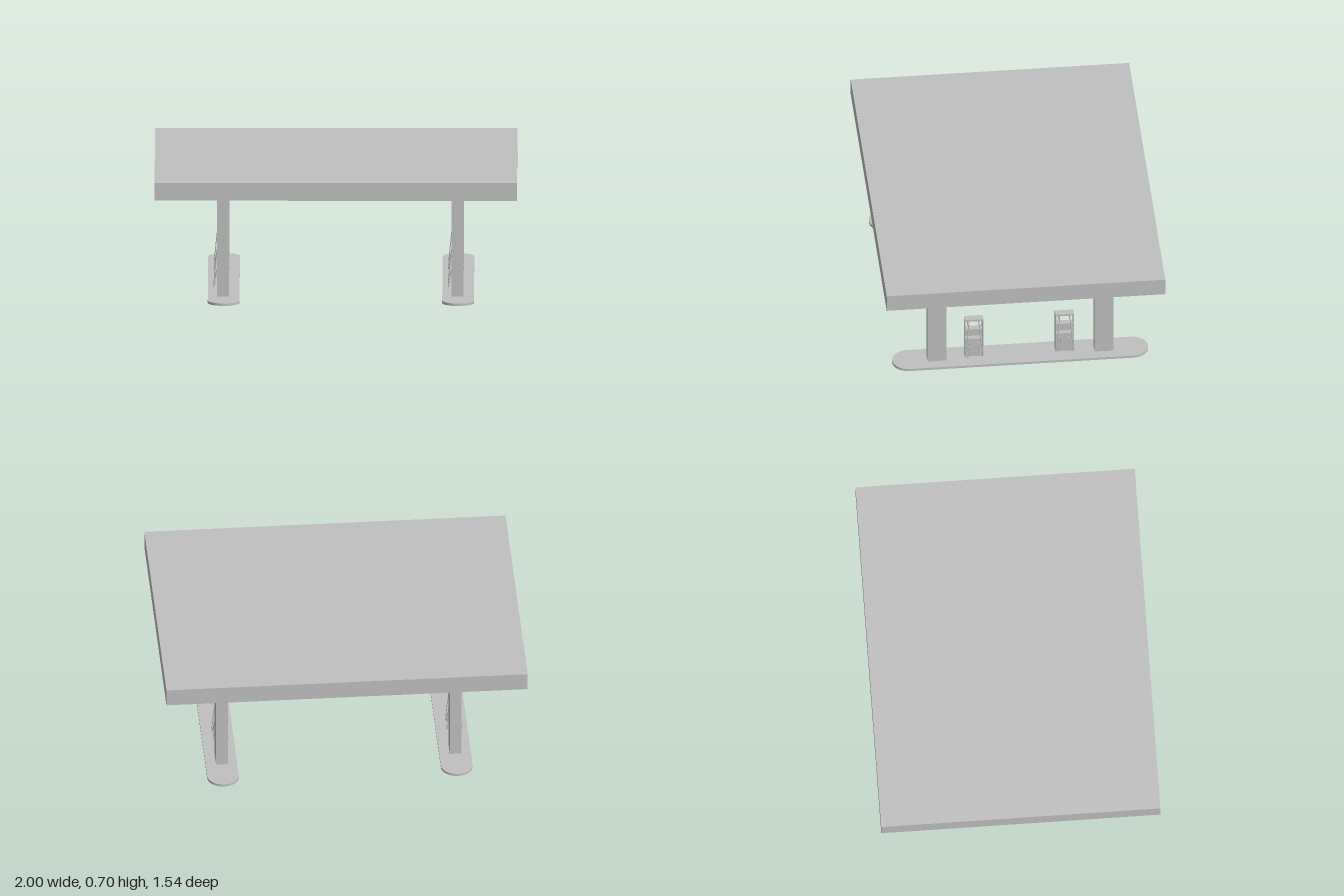
import * as THREE from 'three';

const paint = new THREE.MeshStandardMaterial({ color: 0xc0c0c0 });
paint.name = 'light grey';

function box(name, w, h, d, x, y, z) {
  const m = new THREE.Mesh(new THREE.BoxGeometry(w, h, d), paint);
  m.name = name;
  m.position.set(x, y + h / 2, z);
  return m;
}

// Kerb with round ends, long in z
function island() {
  const r = 0.0875, half = 0.71 - r;
  const s = new THREE.Shape();
  s.absarc(0, half, r, 0, Math.PI, false);
  s.absarc(0, -half, r, Math.PI, Math.PI * 2, false);
  s.closePath();
  const g = new THREE.ExtrudeGeometry(s, { depth: 0.014, bevelEnabled: false, curveSegments: 10 });
  g.rotateX(-Math.PI / 2);
  const m = new THREE.Mesh(g, paint);
  m.name = 'island';
  return m;
}

// Hose drops from the head, loops near the ground and rises to the nozzle
function hose(sx, sz) {
  const pts = [
    [0.02, 0.255, 0.028], [0.027, 0.19, 0.033], [0.036, 0.1, 0.041], [0.041, 0.035, 0.046],
    [0.041, 0.024, 0.04], [0.038, 0.03, 0.034], [0.034, 0.07, 0.026], [0.026, 0.108, 0.023],
  ].map(([x, y, z]) => new THREE.Vector3(x * sx, y, z * sz));
  const g = new THREE.TubeGeometry(new THREE.CatmullRomCurve3(pts), 24, 0.0025, 6);
  const m = new THREE.Mesh(g, paint);
  m.name = 'hose';
  return m;
}

// Open-framed pump, served from both sides
function pump() {
  const p = new THREE.Group();
  p.name = 'pump';
  const depth = 0.04, width = 0.104;
  p.add(box('pumpHead', depth, 0.012, width, 0, 0.255, 0));
  p.add(box('pumpDisplay', depth - 0.006, 0.045, width - 0.012, 0, 0.155, 0));
  p.add(box('pumpCabinet', depth - 0.006, 0.121, width - 0.012, 0, 0.014, 0));
  for (const side of [-1, 1]) {
    p.add(box('pumpPost', depth, 0.241, 0.006, 0, 0.014, side * (width / 2 - 0.003)));
    for (const face of [-1, 1]) {
      p.add(hose(face, side));
      p.add(box('nozzle', 0.012, 0.022, 0.006, face * 0.022, 0.09, side * 0.023));
    }
  }
  return p;
}

export function createModel() {
  const model = new THREE.Group();
  model.name = 'fuelStation';
  model.add(box('canopy', 2, 0.1, 1.545, 0, 0.605, 0));

  // Two identical bays, each with two pillars and two pumps
  for (const x of [-0.619, 0.675]) {
    const bay = new THREE.Group();
    bay.name = 'bay';
    bay.position.x = x;
    bay.add(island());
    for (const z of [-0.462, 0.464]) {
      bay.add(box('pillar', 0.065, 0.593, 0.104, -0.003, 0.013, z));
    }
    for (const z of [-0.247, 0.257]) {
      const p = pump();
      p.position.set(-0.013, 0, z);
      bay.add(p);
    }
    model.add(bay);
  }
  return model;
}
